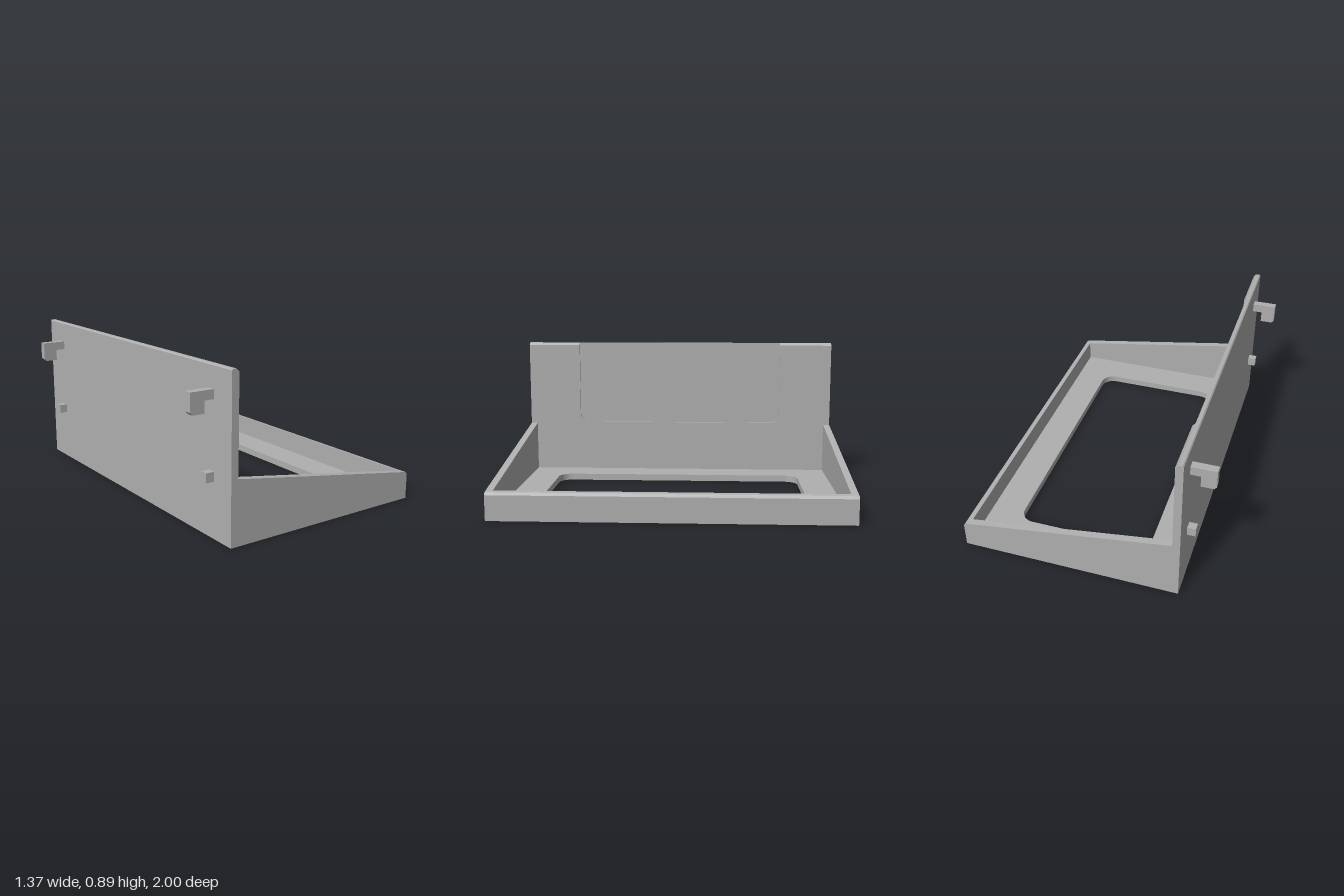
import * as THREE from 'three';
import { toCreasedNormals } from 'three/addons/utils/BufferGeometryUtils.js';

const grey = new THREE.MeshStandardMaterial({ color: 0xb0b0b0 });
grey.name = 'grey';

// Outline in x/y extruded along z from z0 to z1
function profile(name, points, z0, z1) {
  const shape = new THREE.Shape(points.map(([x, y]) => new THREE.Vector2(x, y)));
  const geometry = new THREE.ExtrudeGeometry(shape, { depth: z1 - z0, bevelEnabled: false });
  geometry.translate(0, 0, z0);
  return named(name, geometry);
}

function named(name, geometry) {
  const mesh = new THREE.Mesh(geometry, grey);
  mesh.name = name;
  return mesh;
}

function roundedRect(x0, y0, x1, y1, r) {
  const path = new THREE.Path();
  path.absarc(x1 - r, y1 - r, r, 0, Math.PI / 2);
  path.absarc(x0 + r, y1 - r, r, Math.PI / 2, Math.PI);
  path.absarc(x0 + r, y0 + r, r, Math.PI, Math.PI * 1.5);
  path.absarc(x1 - r, y0 + r, r, Math.PI * 1.5, Math.PI * 2);
  path.closePath();
  return path;
}

const BACK = -0.55, RECESS = -0.523, FACE = -0.508, FRONT = 0.685;
const INNER = 0.96, TOP = 0.89, FLOOR = 0.04;

// Floor with a large rounded opening
function createFloor() {
  const shape = new THREE.Shape([
    new THREE.Vector2(FACE, -INNER), new THREE.Vector2(0.647, -INNER),
    new THREE.Vector2(0.647, INNER), new THREE.Vector2(FACE, INNER),
  ]);
  shape.holes.push(roundedRect(-0.32, -0.77, 0.46, 0.77, 0.08));
  const geometry = new THREE.ExtrudeGeometry(shape, { depth: FLOOR, bevelEnabled: false, curveSegments: 10 });
  geometry.rotateX(-Math.PI / 2);
  return named('floor', toCreasedNormals(geometry, 0.5));
}

// Raised layer of the back plate, leaving a recess open at the top
function createPlateFace() {
  const w = 0.665, low = 0.358, r = 0.06;
  const shape = new THREE.Shape();
  shape.moveTo(-1, 0);
  shape.lineTo(1, 0);
  shape.lineTo(1, TOP);
  shape.lineTo(w, TOP);
  shape.lineTo(w, low + r);
  shape.absarc(w - r, low + r, r, 0, -Math.PI / 2, true);
  shape.lineTo(-w + r, low);
  shape.absarc(-w + r, low + r, r, -Math.PI / 2, -Math.PI, true);
  shape.lineTo(-w, TOP);
  shape.lineTo(-1, TOP);
  const depth = FACE - RECESS;
  const geometry = new THREE.ExtrudeGeometry(shape, { depth, bevelEnabled: false, curveSegments: 10 });
  // Slope the top edge down towards the face
  const p = geometry.attributes.position;
  for (let i = 0; i < p.count; i++) {
    if (p.getY(i) > TOP - 0.01 && p.getZ(i) > depth / 2) p.setY(i, TOP - 0.016);
  }
  geometry.computeVertexNormals();
  geometry.rotateY(Math.PI / 2);
  geometry.translate(RECESS, 0, 0);
  return named('backPlateFace', toCreasedNormals(geometry, 0.5));
}

export function createModel() {
  const model = new THREE.Group();
  model.name = 'hangingTray';

  model.add(createFloor(), createPlateFace());
  model.add(profile('backPlate', [
    [BACK, 0], [RECESS, 0], [RECESS, TOP], [BACK + 0.006, TOP], [BACK, TOP - 0.006],
  ], -1, 1));
  model.add(profile('frontWall', [
    [0.647, 0], [FRONT, 0], [FRONT, 0.143], [0.673, 0.157], [0.647, 0.161],
  ], -INNER, INNER));

  for (const side of [-1, 1]) {
    const label = side > 0 ? 'front' : 'rear';
    const span = (a, b) => (side > 0 ? [a, b] : [-b, -a]);
    // Sloping end wall
    model.add(profile(label + 'EndWall', [
      [FACE, 0], [FRONT, 0], [FRONT, 0.143], [0.673, 0.157], [FACE, 0.348],
    ], ...span(INNER, 1)));
    // Hook above a locating peg
    model.add(profile(label + 'Hook', [
      [BACK, 0.72], [BACK, 0.77], [-0.688, 0.77], [-0.688, 0.67], [-0.675, 0.656],
      [-0.606, 0.656], [-0.606, 0.72],
    ], ...span(0.813, 0.857)));
    model.add(profile(label + 'Peg', [
      [BACK, 0.303], [BACK, 0.354], [-0.597, 0.354], [-0.597, 0.303],
    ], ...span(0.813, 0.857)));
  }
  return model;
}
